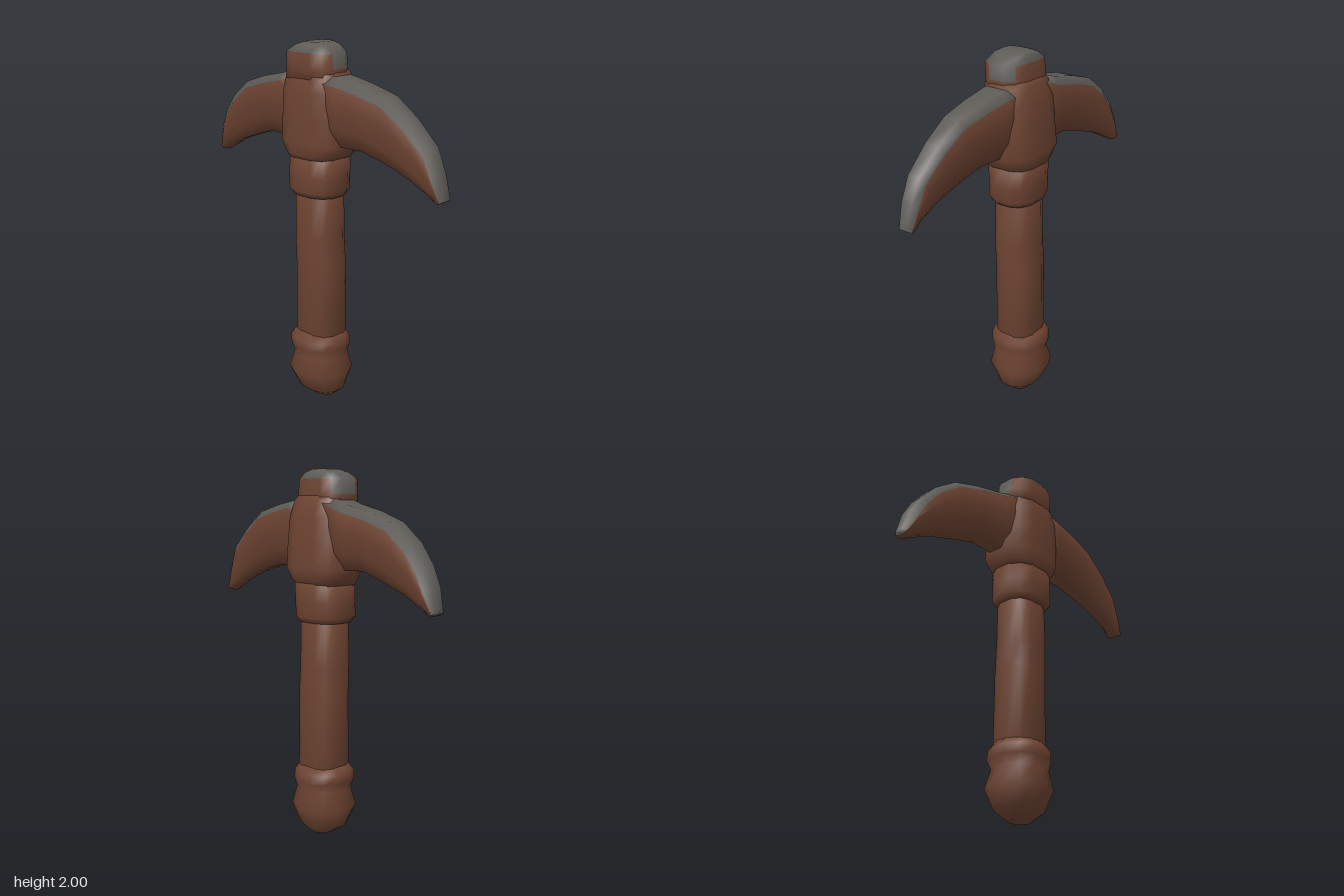
import * as THREE from 'three';

const wood = new THREE.MeshStandardMaterial({ color: 0x6e4432 });
wood.name = 'brown';
const stone = new THREE.MeshStandardMaterial({ color: 0x5e5c57 });
stone.name = 'stone grey';

// Skin a list of closed rings; isGrey(ring, side, total) picks the material of each face
function loft(name, rings, isGrey = () => false) {
  const n = rings[0].length, last = rings.length - 1;
  const pts = rings.flat();
  const centre = (r) => r.reduce((s, p) => s.add(p), new THREE.Vector3()).divideScalar(n);
  const c0 = pts.push(centre(rings[0])) - 1;
  const c1 = pts.push(centre(rings[last])) - 1;
  const faces = [[], []];
  for (let j = 0; j < n; j++) {
    const k = (j + 1) % n;
    for (let i = 0; i < last; i++) {
      const a = i * n + j, b = i * n + k;
      faces[isGrey(i, j, last) ? 1 : 0].push(a, b, b + n, a, b + n, a + n);
    }
    faces[isGrey(-1, j, last) ? 1 : 0].push(c0, k, j);
    faces[isGrey(last, j, last) ? 1 : 0].push(c1, last * n + j, last * n + k);
  }
  const g = new THREE.BufferGeometry().setFromPoints(pts);
  g.setIndex([...faces[0], ...faces[1]]);
  g.addGroup(0, faces[0].length, 0);
  g.addGroup(faces[0].length, faces[1].length, 1);
  g.computeVertexNormals();
  const mesh = new THREE.Mesh(g, [wood, stone]);
  mesh.name = name;
  return mesh;
}

// Horizontal ring spanning x0..x1 and z0..z1; power below 1 makes it boxier
function ring([y, x0, x1, z0, z1], sides, power) {
  const soft = (v) => Math.sign(v) * Math.abs(v) ** power;
  return Array.from({ length: sides }, (_, i) => {
    const a = ((i + 0.5) / sides) * Math.PI * 2;
    const reach = Math.cos(Math.PI / sides) ** power;
    return new THREE.Vector3(
      (x0 + x1) / 2 + soft(Math.sin(a)) * (x1 - x0) / 2 / reach,
      y,
      (z0 + z1) / 2 + soft(Math.cos(a)) * (z1 - z0) / 2 / reach);
  });
}
const column = (name, rows, sides, power, isGrey) =>
  loft(name, rows.map((r) => ring(r, sides, power)), isGrey);

// Arm station: top z, y; bottom z, y; x range. The grey edge has a fixed depth
function armRing([zt, yt, zb, yb, x0, x1]) {
  const edge = 1 - Math.min(0.4, 0.04 / Math.hypot(zt - zb, yt - yb));
  const outline = [[0.4, 0], [0.85, 0.25], [1, 0.6], [0.95, edge], [0.55, 1],
    [-0.55, 1], [-0.95, edge], [-1, 0.6], [-0.85, 0.25], [-0.4, 0]];
  return outline.map(([u, v]) => new THREE.Vector3(
    (x0 + x1) / 2 + u * (x1 - x0) / 2,
    yb + (yt - yb) * v,
    zb + (zt - zb) * v));
}
const arm = (name, rows) => loft(name, rows.map(armRing), (i, j) => j >= 3 && j <= 5);

export function createModel() {
  const model = new THREE.Group();
  model.name = 'pickaxe';

  // Handle parts
  model.add(column('pommel', [
    [0, -0.04, 0.06, -0.06, 0.07],
    [0.05, -0.11, 0.11, -0.14, 0.13],
    [0.16, -0.165, 0.16, -0.18, 0.16],
    [0.26, -0.14, 0.13, -0.15, 0.14],
    [0.31, -0.155, 0.15, -0.17, 0.15],
    [0.36, -0.155, 0.14, -0.17, 0.15],
    [0.4, -0.12, 0.11, -0.14, 0.12],
  ], 12, 0.9));
  model.add(column('shaft', [
    [0.36, -0.12, 0.115, -0.14, 0.125],
    [0.8, -0.12, 0.11, -0.135, 0.125],
    [0.95, -0.125, 0.1, -0.135, 0.125],
    [1.25, -0.12, 0.095, -0.13, 0.12],
  ], 12, 0.8));
  model.add(column('collar', [
    [1.19, -0.13, 0.1, -0.14, 0.13],
    [1.22, -0.15, 0.115, -0.165, 0.15],
    [1.3, -0.145, 0.115, -0.165, 0.155],
    [1.44, -0.145, 0.12, -0.16, 0.155],
  ], 12, 0.75));

  // Head block with its grey-topped crown
  model.add(column('headBlock', [
    [1.39, -0.14, 0.11, -0.16, 0.14],
    [1.42, -0.16, 0.13, -0.17, 0.17],
    [1.48, -0.165, 0.145, -0.21, 0.2],
    [1.62, -0.165, 0.135, -0.2, 0.2],
    [1.75, -0.165, 0.125, -0.19, 0.19],
    [1.84, -0.145, 0.1, -0.17, 0.17],
    [1.87, -0.13, 0.08, -0.14, 0.14],
  ], 12, 0.7));
  // Sides 11 and 5 face front and back, where the grey runs lower
  model.add(column('crown', [
    [1.78, -0.15, 0.09, -0.175, 0.165],
    [1.87, -0.15, 0.085, -0.17, 0.155],
    [1.95, -0.155, 0.08, -0.16, 0.15],
    [1.985, -0.13, 0.065, -0.1, 0.1],
    [2, -0.1, 0.05, -0.05, 0.05],
  ], 12, 0.7, (i, j) => i >= 2 || (i === 1 && [0, 4, 5, 11].includes(j))));

  // Curved arms, both listed from back to front
  model.add(arm('frontArm', [
    [0.08, 1.85, 0.08, 1.48, -0.14, 0.09],
    [0.2, 1.835, 0.2, 1.48, -0.135, 0.08],
    [0.34, 1.81, 0.34, 1.48, -0.13, 0.065],
    [0.5, 1.77, 0.47, 1.45, -0.12, 0.05],
    [0.64, 1.68, 0.57, 1.42, -0.115, 0.035],
    [0.775, 1.56, 0.67, 1.38, -0.105, 0.02],
    [0.83, 1.44, 0.76, 1.335, -0.1, 0.01],
    [0.865, 1.32, 0.82, 1.295, -0.085, 0],
  ]));
  model.add(arm('backArm', [
    [-0.865, 1.325, -0.82, 1.3, 0, 0.09],
    [-0.83, 1.44, -0.74, 1.345, -0.025, 0.1],
    [-0.775, 1.54, -0.65, 1.39, -0.04, 0.1],
    [-0.69, 1.64, -0.56, 1.42, -0.055, 0.1],
    [-0.56, 1.735, -0.47, 1.45, -0.07, 0.1],
    [-0.4, 1.785, -0.35, 1.485, -0.09, 0.1],
    [-0.23, 1.82, -0.22, 1.48, -0.11, 0.1],
    [-0.08, 1.87, -0.08, 1.48, -0.13, 0.1],
  ]));
  return model;
}
